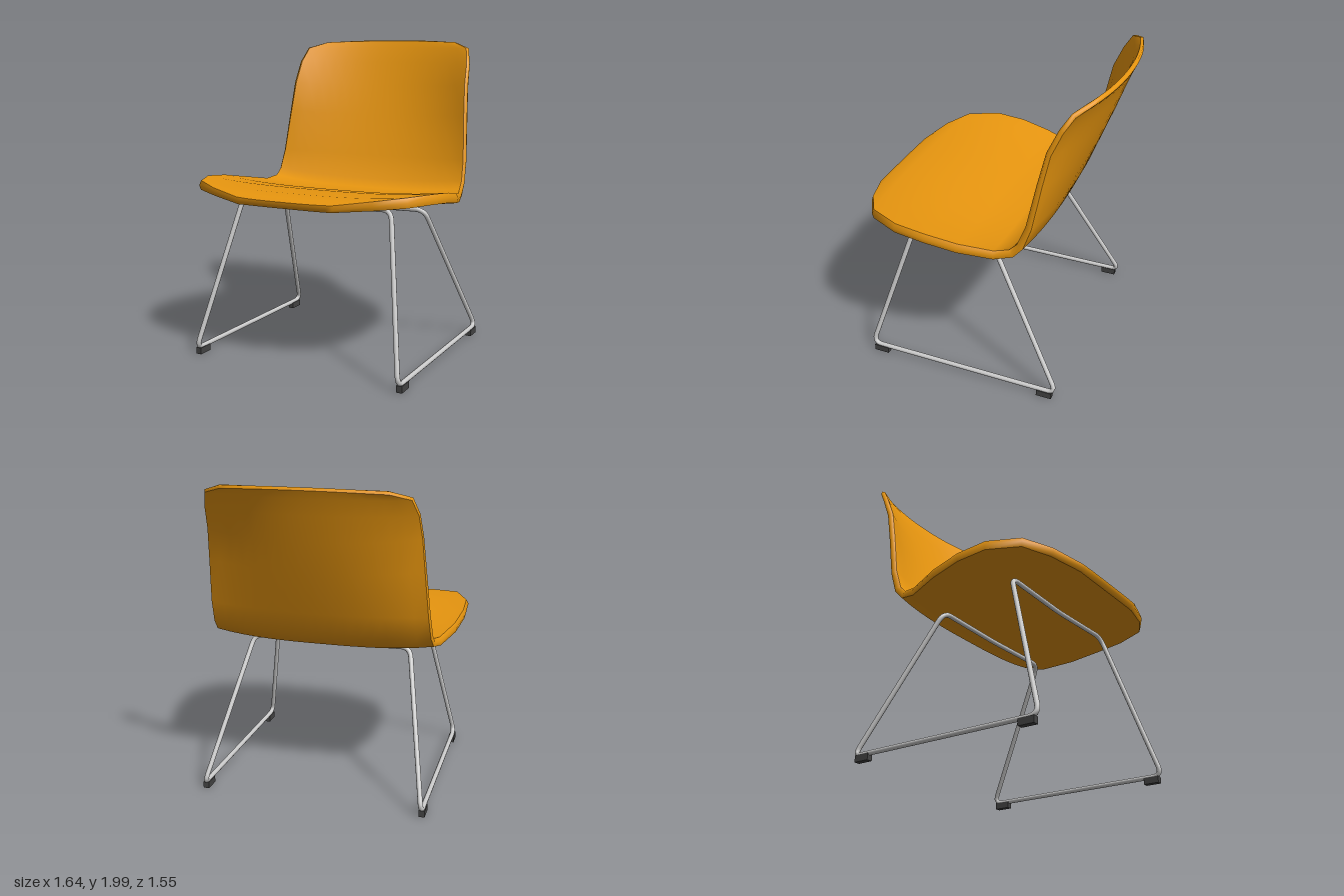
import * as THREE from 'three';

// Shell stations, front lip to top of back:
// half width, edge z, edge y, centre z, centre y (upper surface), thickness
const STATIONS = [
  [0.32, 0.76, 1.07, 0.768, 1.065, 0.05],
  [0.54, 0.69, 1.10, 0.735, 1.085, 0.055],
  [0.705, 0.59, 1.12, 0.64, 1.097, 0.06],
  [0.795, 0.395, 1.12, 0.42, 1.092, 0.06],
  [0.803, 0.20, 1.10, 0.20, 1.062, 0.06],
  [0.778, 0.00, 1.065, 0.00, 1.025, 0.06],
  [0.718, -0.20, 1.03, -0.20, 0.988, 0.055],
  [0.693, -0.29, 1.045, -0.30, 1.005, 0.05],
  [0.688, -0.335, 1.09, -0.365, 1.055, 0.045],
  [0.678, -0.385, 1.22, -0.44, 1.21, 0.04],
  [0.655, -0.44, 1.50, -0.55, 1.48, 0.038],
  [0.64, -0.485, 1.70, -0.63, 1.68, 0.035],
  [0.628, -0.55, 1.845, -0.69, 1.84, 0.032],
  [0.60, -0.61, 1.94, -0.73, 1.94, 0.03],
  [0.49, -0.685, 1.98, -0.755, 1.99, 0.028],
];
const SEAT_ROWS = 8;
const ACROSS = 16;
const RIM_BULGE = 0.012;

function geometryFrom(points, index) {
  const g = new THREE.BufferGeometry().setFromPoints(points);
  g.setIndex(index);
  g.computeVertexNormals();
  return g;
}

// Curved seat and back: upper sheet, offset lower sheet and a rounded rim
function createShell(material) {
  const upper = [], upIndex = [], downIndex = [];
  const row = ACROSS + 1, rows = STATIONS.length;
  STATIONS.forEach(([w, ez, ey, cz, cy], i) => {
    for (let j = 0; j <= ACROSS; j++) {
      const s = (j / ACROSS) * 2 - 1;
      const k = Math.abs(s) ** (i < SEAT_ROWS ? 3 : 2.1); // seat is flatter across
      upper.push(new THREE.Vector3(w * s, cy + (ey - cy) * k, cz + (ez - cz) * k));
      if (i < rows - 1 && j < ACROSS) {
        const a = i * row + j, b = a + 1, c = a + row, d = c + 1;
        upIndex.push(a, b, c, b, d, c);
        downIndex.push(a, c, b, b, c, d);
      }
    }
  });
  const top = geometryFrom(upper, upIndex);
  const normals = upper.map((p, i) => new THREE.Vector3().fromBufferAttribute(top.attributes.normal, i));
  const lower = upper.map((p, i) =>
    p.clone().addScaledVector(normals[i], -STATIONS[Math.floor(i / row)][5]));

  // Walk the outline once around, with a mid line pushed outward
  const loop = [];
  for (let j = 0; j < ACROSS; j++) loop.push(j);
  for (let i = 0; i < rows - 1; i++) loop.push(i * row + ACROSS);
  for (let j = ACROSS; j > 0; j--) loop.push((rows - 1) * row + j);
  for (let i = rows - 1; i > 0; i--) loop.push(i * row);
  const rimPoints = [], rimIndex = [], count = loop.length;
  loop.forEach((v, i) => {
    const tangent = upper[loop[(i + 1) % count]].clone().sub(upper[loop[(i + count - 1) % count]]);
    const outward = tangent.cross(normals[v]).normalize();
    const middle = upper[v].clone().lerp(lower[v], 0.5).addScaledVector(outward, RIM_BULGE);
    rimPoints.push(upper[v], middle, lower[v]);
    for (let k = 0; k < 2; k++) {
      const t0 = i * 3 + k, b0 = t0 + 1, t1 = ((i + 1) % count) * 3 + k, b1 = t1 + 1;
      rimIndex.push(b0, b1, t1, b0, t1, t0);
    }
  });

  const shell = new THREE.Group();
  shell.name = 'seatShell';
  const parts = {
    shellUpperSurface: top,
    shellLowerSurface: geometryFrom(lower, downIndex),
    shellRim: geometryFrom(rimPoints, rimIndex),
  };
  for (const [name, geometry] of Object.entries(parts)) {
    const mesh = new THREE.Mesh(geometry, material);
    mesh.name = name;
    shell.add(mesh);
  }
  return shell;
}

// Closed path through corner points, each corner rounded off
function roundedLoop(corners, bend) {
  const path = new THREE.CurvePath();
  const count = corners.length;
  const toward = (a, b) => a.clone().addScaledVector(b.clone().sub(a).normalize(), bend);
  corners.forEach((p, i) => {
    const prev = corners[(i + count - 1) % count], next = corners[(i + 1) % count];
    path.add(new THREE.QuadraticBezierCurve3(toward(p, prev), p, toward(p, next)));
    path.add(new THREE.LineCurve3(toward(p, next), toward(next, p)));
  });
  return path;
}

export function createModel() {
  const model = new THREE.Group();
  model.name = 'loungeChair';
  const orange = new THREE.MeshStandardMaterial({ color: 0xe8960f });
  const steel = new THREE.MeshStandardMaterial({ color: 0xcccccc });
  const dark = new THREE.MeshStandardMaterial({ color: 0x444444 });

  model.add(createShell(orange));

  // Sled frame: one continuous bent rod with slightly sagging cross bars
  const side = [[0.52, 1.003, 0.39], [0.705, 0.045, 0.685], [0.705, 0.045, -0.612], [0.52, 0.92, -0.118]];
  const corners = [
    new THREE.Vector3(0, 0.985, 0.39),
    ...side.map(([x, y, z]) => new THREE.Vector3(x, y, z)),
    new THREE.Vector3(0, 0.91, -0.118),
    ...side.slice().reverse().map(([x, y, z]) => new THREE.Vector3(-x, y, z)),
  ];
  const frame = new THREE.Mesh(
    new THREE.TubeGeometry(roundedLoop(corners, 0.065), 420, 0.0155, 10, true), steel);
  frame.name = 'sledFrame';
  model.add(frame);

  // Glides under the floor rails
  for (const sx of [1, -1]) {
    for (const z of [0.615, -0.535]) {
      const foot = new THREE.Mesh(new THREE.BoxGeometry(0.038, 0.042, 0.1), dark);
      foot.position.set(sx * 0.705, 0.021, z);
      foot.name = 'footGlide';
      model.add(foot);
    }
  }
  return model;
}
